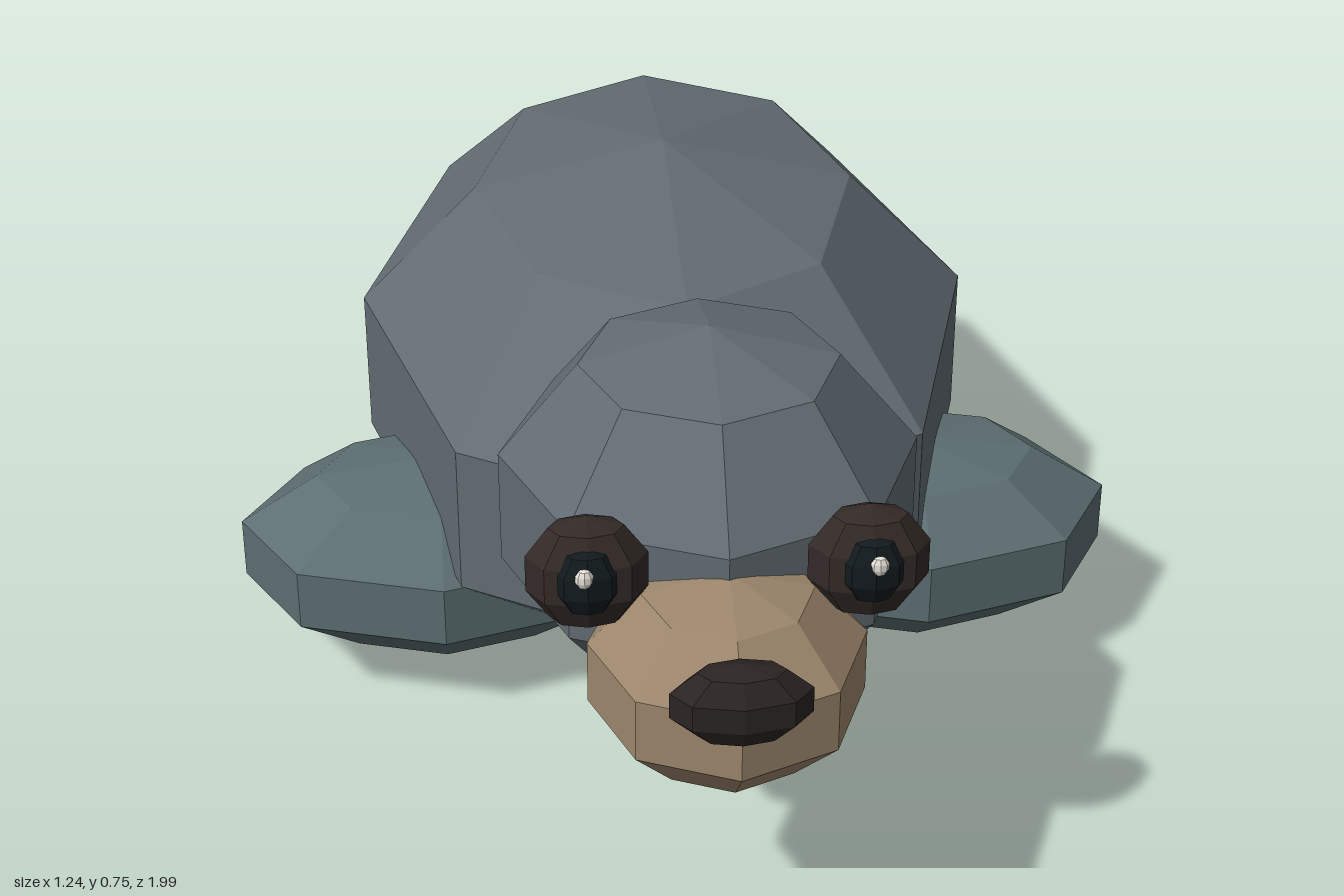
import * as THREE from 'three';

const COLORS = {
  fur: 0x626c72,
  flipper: 0x5c6e71,
  muzzle: 0x9c866c,
  nose: 0x2a2423,
  socket: 0x332a27,
  pupil: 0x121a1d,
  glint: 0xe8e4da,
};

const materials = {};
function material(key) {
  materials[key] ??= new THREE.MeshStandardMaterial({ color: COLORS[key], flatShading: true });
  return materials[key];
}

// Faceted ellipsoid: eight sides, five bands
function blob(name, key, [x, y, z], [rx, ry, rz]) {
  const geometry = new THREE.SphereGeometry(1, 8, 5);
  geometry.scale(rx, ry, rz);
  const mesh = new THREE.Mesh(geometry, material(key));
  mesh.name = name;
  mesh.position.set(x, y, z);
  return mesh;
}

export function createModel() {
  const model = new THREE.Group();
  model.name = 'seal';

  // Trunk
  model.add(blob('body', 'fur', [0, 0.345, -0.15], [0.462, 0.341, 0.683]));

  // Head, muzzle and nose
  const head = new THREE.Group();
  head.name = 'head';
  head.add(
    blob('skull', 'fur', [0, 0.515, 0.555], [0.27, 0.24, 0.272]),
    blob('muzzle', 'muzzle', [0, 0.435, 0.8], [0.172, 0.13, 0.178]),
    blob('nose', 'nose', [0, 0.493, 0.955], [0.085, 0.052, 0.041]),
  );
  model.add(head);

  for (const side of [1, -1]) {
    const label = side > 0 ? 'left' : 'right';

    // Eye: dark surround, pupil and highlight
    const eye = new THREE.Group();
    eye.name = label + 'Eye';
    eye.add(
      blob('eyeSurround', 'socket', [side * 0.162, 0.573, 0.798], [0.074, 0.074, 0.045]),
      blob('pupil', 'pupil', [side * 0.163, 0.577, 0.825], [0.04, 0.045, 0.026]),
      blob('glint', 'glint', [side * 0.167, 0.593, 0.846], [0.011, 0.013, 0.007]),
    );
    head.add(eye);

    // Flippers
    model.add(
      blob(label + 'FrontFlipper', 'flipper', [side * 0.335, 0.183, 0.095], [0.299, 0.14, 0.215]),
      blob(label + 'HindFlipper', 'fur', [side * 0.18, 0.165, -0.73], [0.262, 0.127, 0.283]),
    );
  }

  return model;
}
